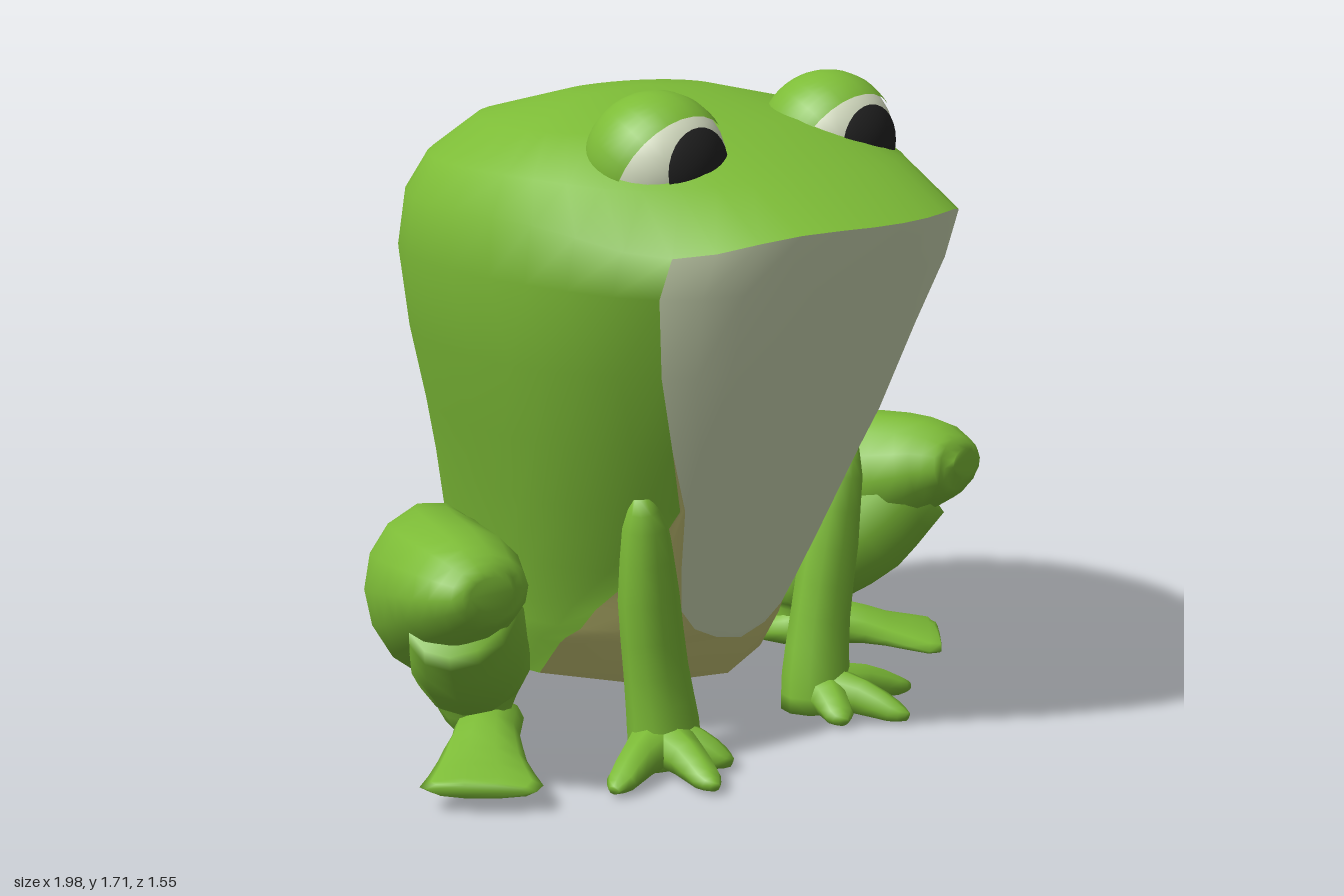
import * as THREE from 'three';
import { mergeVertices } from 'three/addons/utils/BufferGeometryUtils.js';

const paint = (name, color) => {
  const m = new THREE.MeshStandardMaterial({ color });
  m.name = name;
  return m;
};

function smoothGeometry(positions, index) {
  let g = new THREE.BufferGeometry();
  g.setAttribute('position', new THREE.Float32BufferAttribute(positions, 3));
  g.setIndex(index);
  g = mergeVertices(g, 1e-4);
  g.computeVertexNormals();
  return g;
}

// Body rings from crown to underside:
// y, front z, back z, half width, centre z, back squareness, belly half width, underside half width
const RINGS = [
  [1.667, -0.1, -0.1, 0.00001, -0.1, 2, 0, 0],
  [1.655, 0.02, -0.28, 0.22, -0.12, 2.2, 0.16, 0.16],
  [1.6, 0.31, -0.49, 0.46, -0.05, 2.3, 0.36, 0.36],
  [1.51, 0.58, -0.595, 0.59, 0, 2.4, 0.46, 0.46],
  [1.415, 0.775, -0.635, 0.645, 0, 2.5, 0.495, 0.495],
  [1.27, 0.715, -0.655, 0.665, 0, 2.5, 0.505, 0.505],
  [1.05, 0.61, -0.675, 0.615, 0, 2.45, 0.45, 0.45],
  [0.85, 0.52, -0.69, 0.56, 0, 2.3, 0.38, 0.38],
  [0.68, 0.44, -0.715, 0.505, -0.05, 2.15, 0.3, 0.31],
  [0.5, 0.355, -0.74, 0.455, -0.1, 2, 0.25, 0.33],
  [0.38, 0.3, -0.76, 0.42, -0.15, 1.85, 0.21, 0.36],
  [0.32, 0.273, -0.768, 0.41, -0.17, 1.8, 0.16, 0.365],
  [0.285, 0.257, -0.774, 0.4, -0.19, 1.75, 0.09, 0.37],
  [0.265, 0.248, -0.775, 0.395, -0.2, 1.75, 0, 0.37],
  [0.155, 0.2, -0.76, 0.36, -0.25, 1.7, 0, 0.35],
  [0.14, 0.16, -0.67, 0.29, -0.25, 1.8, 0, 0.28],
  [0.125, -0.25, -0.25, 0.00001, -0.25, 2, 0, 0],
];
const MOUTH = 4, BASE = 14;

function buildBody(mats) {
  const A = 6, B = 8, N = 22; // columns ending belly, underside and back on each half
  const positions = [];
  RINGS.forEach(([y, front, back, w, zc, p, belly, under], r) => {
    const a = Math.asin(Math.min(1, belly / w)), b = Math.asin(Math.min(1, under / w));
    const droop = r === MOUTH ? 0.06 : Math.abs(r - MOUTH) === 1 ? 0.015 : 0;
    const slope = r === BASE + 1 ? 0.045 : 0;
    for (let j = -N; j < N; j++) {
      const k = Math.abs(j);
      const t = k <= A ? (a * k) / A
        : k <= B ? a + ((b - a) * (k - A)) / (B - A)
          : b + ((Math.PI - b) * (k - B)) / (N - B);
      const s = Math.sin(t), c = Math.cos(t), e = 2 / p;
      const x = c >= 0 ? w * s : w * Math.pow(Math.max(s, 0), e);
      const z = c >= 0 ? zc + (front - zc) * c : zc - (zc - back) * Math.pow(-c, e);
      // the mouth line droops at its corners, the underside slopes to the back
      const drop = c > 0 ? droop * Math.pow(Math.sin(1.75 * t), 6) : 0;
      positions.push(Math.sign(j) * x, y - drop + slope * z, z);
    }
  });
  const zones = { skin: [], belly: [], underside: [] };
  for (let r = 0; r < RINGS.length - 1; r++) {
    for (let j = 0; j < 2 * N; j++) {
      const k = j < N ? N - 1 - j : j - N;
      const zone = r < MOUTH ? 'skin' : r >= BASE ? 'underside'
        : k < A ? 'belly' : k < B ? 'underside' : 'skin';
      const p = r * 2 * N + j, q = r * 2 * N + ((j + 1) % (2 * N));
      const p2 = p + 2 * N, q2 = q + 2 * N;
      zones[zone].push(p, p2, q, q, p2, q2);
    }
  }
  const body = new THREE.Group();
  body.name = 'body';
  for (const zone in zones) {
    const mesh = new THREE.Mesh(smoothGeometry(positions, zones[zone]), mats[zone]);
    mesh.name = zone === 'skin' ? 'back' : zone;
    body.add(mesh);
  }
  return body;
}

// Rounded limb through stations [x, y, z, half width, half depth]; ref points along the depth
function limb(name, side, stations, ref, mat, sides = 12, steps = 3) {
  const pts = stations.map(([x, y, z]) => new THREE.Vector3(x * side, y, z));
  const curve = new THREE.CatmullRomCurve3(pts, false, 'catmullrom', 0.5);
  const rows = (stations.length - 1) * steps;
  const positions = [], index = [];
  for (let i = 0; i <= rows; i++) {
    const t = i / rows, c = curve.getPoint(t), tan = curve.getTangent(t);
    const u = new THREE.Vector3().crossVectors(ref, tan).normalize();
    const v = new THREE.Vector3().crossVectors(tan, u);
    const k = Math.min(Math.floor(i / steps), stations.length - 2), f = i / steps - k;
    const w = THREE.MathUtils.lerp(stations[k][3], stations[k + 1][3], f);
    const h = THREE.MathUtils.lerp(stations[k][4], stations[k + 1][4], f);
    for (let j = 0; j < sides; j++) {
      const an = (j / sides) * Math.PI * 2;
      const p = c.clone().addScaledVector(u, w * Math.cos(an)).addScaledVector(v, h * Math.sin(an));
      positions.push(p.x, Math.max(p.y, 0), p.z);
      if (i < rows) {
        const a = i * sides + j, b = i * sides + ((j + 1) % sides);
        index.push(a, b, a + sides, b, b + sides, a + sides);
      }
    }
  }
  // end caps
  for (const [row, flip] of [[0, true], [rows, false]]) {
    const o = row * sides;
    for (let j = 1; j < sides - 1; j++) index.push(o, o + (flip ? j + 1 : j), o + (flip ? j : j + 1));
  }
  const mesh = new THREE.Mesh(smoothGeometry(positions, index), mat);
  mesh.name = name;
  return mesh;
}

function buildHindLeg(side, mat) {
  const up = new THREE.Vector3(0, 1, 0), fwd = new THREE.Vector3(0, 0, 1);
  const leg = new THREE.Group();
  leg.add(
    limb('thigh', side, [
      [0.865, 0.575, 0.27, 0.06, 0.04], [0.86, 0.57, 0.235, 0.12, 0.09],
      [0.83, 0.55, 0.12, 0.165, 0.145], [0.73, 0.485, -0.1, 0.175, 0.2],
      [0.575, 0.4, -0.3, 0.165, 0.225], [0.4, 0.335, -0.49, 0.12, 0.16],
      [0.25, 0.3, -0.6, 0.04, 0.06]], up, mat, 14),
    limb('shin', side, [
      [0.83, 0.5, 0.11, 0.14, 0.12], [0.73, 0.37, 0.02, 0.165, 0.14],
      [0.61, 0.25, -0.1, 0.15, 0.14], [0.595, 0.15, -0.11, 0.1, 0.1],
      [0.57, 0.08, -0.11, 0.07, 0.07]], fwd, mat),
    limb('hindFoot', side, [
      [0.5, 0.075, -0.17, 0.035, 0.03], [0.55, 0.09, -0.11, 0.085, 0.055],
      [0.66, 0.1, 0, 0.085, 0.06], [0.75, 0.08, 0.09, 0.11, 0.04],
      [0.83, 0.062, 0.18, 0.15, 0.026], [0.85, 0.058, 0.2, 0.12, 0.018]], up, mat, 10, 2));
  return leg;
}

function buildFrontLeg(side, mat) {
  const up = new THREE.Vector3(0, 1, 0), fwd = new THREE.Vector3(0, 0, 1);
  const leg = new THREE.Group();
  leg.add(limb('foreleg', side, [
    [0.38, 0.72, 0.275, 0.025, 0.025], [0.36, 0.64, 0.265, 0.058, 0.058],
    [0.335, 0.45, 0.25, 0.082, 0.072], [0.305, 0.25, 0.245, 0.088, 0.075],
    [0.285, 0.1, 0.25, 0.098, 0.085], [0.28, 0.005, 0.255, 0.098, 0.088]], fwd, mat, 10, 2));
  // three spread toes
  for (const [x, z] of [[0.21, 0.42], [0.36, 0.51], [0.55, 0.35]]) {
    const station = (f, y, w, h) => [0.29 + (x - 0.29) * f, y, 0.25 + (z - 0.25) * f, w, h];
    leg.add(limb('toe', side, [
      station(0, 0.065, 0.08, 0.065), station(0.5, 0.052, 0.05, 0.05),
      station(0.85, 0.03, 0.04, 0.028), station(1, 0.022, 0.015, 0.012)], up, mat, 8, 2));
  }
  return leg;
}

function buildEye(side, mats) {
  const eye = new THREE.Group();
  eye.position.set(0.305 * side, 1.533, 0.25);
  const part = (name, radius, angle, tilt, mat) => {
    const m = new THREE.Mesh(new THREE.SphereGeometry(radius, 28, 14, 0, Math.PI * 2, 0, angle), mat);
    m.name = name;
    m.rotation.x = tilt;
    eye.add(m);
  };
  part('eyeball', 0.171, Math.PI, 0, mats.eyeWhite);
  part('pupil', 0.175, 0.61, Math.PI / 2, mats.pupil);
  part('eyelid', 0.176, 1.86, -1.075, mats.skin);
  return eye;
}

export function createModel() {
  const mats = {
    skin: paint('greenSkin', 0x7dbc37),
    belly: paint('paleBelly', 0xd4e0ba),
    underside: paint('oliveUnderside', 0xcac878),
    eyeWhite: paint('eyeWhite', 0xd8e0c4),
    pupil: paint('pupilBlack', 0x222222),
  };
  const frog = new THREE.Group();
  frog.name = 'frog';
  frog.add(buildBody(mats));
  for (const [side, label] of [[1, 'left'], [-1, 'right']]) {
    const parts = {
      HindLeg: buildHindLeg(side, mats.skin),
      FrontLeg: buildFrontLeg(side, mats.skin),
      Eye: buildEye(side, mats),
    };
    for (const key in parts) {
      parts[key].name = label + key;
      frog.add(parts[key]);
    }
  }
  return frog;
}
